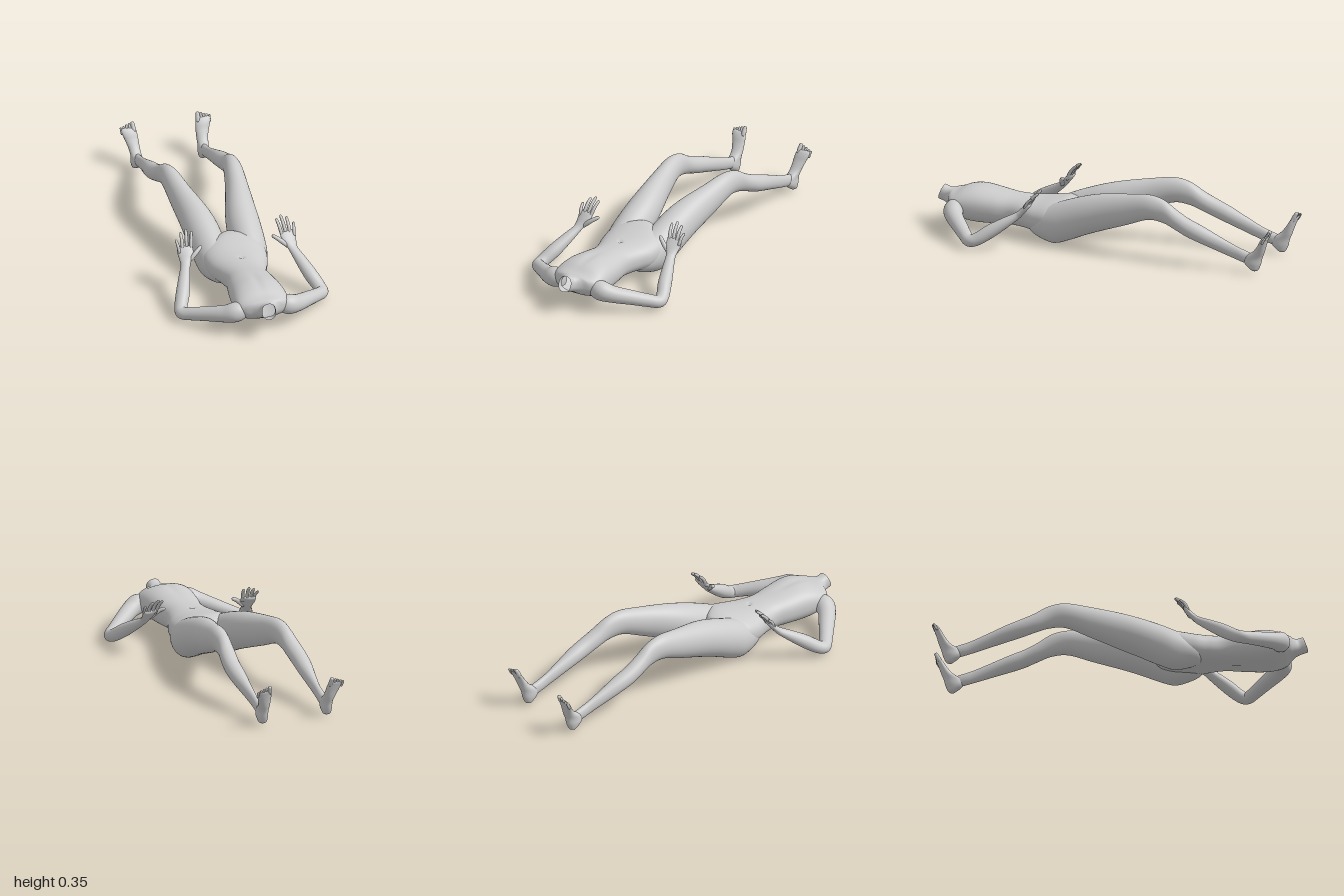
import * as THREE from 'three';

const material = new THREE.MeshStandardMaterial({ color: 0xcccccc, roughness: 0.8, side: THREE.DoubleSide });
const X = new THREE.Vector3(1, 0, 0), Y = new THREE.Vector3(0, 1, 0), Z = new THREE.Vector3(0, 0, 1);

// Smooth skin through sections [x, y, z, halfA, halfB].
// axes: fixed ring axes; without them the rings stand square to the path.
function loft(name, sections, { axes, sides = 28, steps = 5, power = 2, openEnd = false, shape } = {}) {
  const curveOf = (f) => new THREE.CatmullRomCurve3(sections.map(f), false, 'catmullrom', 0.5);
  const path = curveOf((s) => new THREE.Vector3(s[0], s[1], s[2]));
  const size = curveOf((s) => new THREE.Vector3(s[3], s[4], s[5] || 0));
  const rows = (sections.length - 1) * steps;
  const pos = [], index = [], p = new THREE.Vector3();
  const bend = (v) => Math.sign(v) * Math.abs(v) ** (2 / power);
  for (let i = 0; i <= rows; i++) {
    const c = path.getPoint(i / rows), r = size.getPoint(i / rows);
    let [A, B] = axes || [];
    if (!axes) {
      const T = path.getTangent(i / rows);
      A = new THREE.Vector3().crossVectors(Y, T).normalize();
      B = new THREE.Vector3().crossVectors(T, A);
    }
    for (let j = 0; j < sides; j++) {
      const t = (j / sides) * Math.PI * 2, u = bend(Math.cos(t)), v = bend(Math.sin(t));
      p.copy(c).addScaledVector(A, u * r.x).addScaledVector(B, v * r.y);
      p.z -= v * r.z; // slant of the ring
      if (shape) shape(p, v);
      pos.push(p.x, p.y, p.z);
    }
  }
  const first = path.getPoint(0), last = path.getPoint(1);
  const flip = axes && new THREE.Vector3().crossVectors(...axes).dot(last.clone().sub(first)) < 0;
  const face = (a, b, c) => (flip ? index.push(a, c, b) : index.push(a, b, c));
  for (let i = 0; i < rows; i++) {
    for (let j = 0; j < sides; j++) {
      const k = (j + 1) % sides, a = i * sides, b = a + sides;
      face(a + j, a + k, b + j);
      face(a + k, b + k, b + j);
    }
  }
  const tip = pos.length / 3;
  pos.push(...first.toArray(), ...last.toArray());
  for (let j = 0; j < sides; j++) {
    const k = (j + 1) % sides, e = rows * sides;
    face(tip, k, j);
    if (!openEnd) face(tip + 1, e + j, e + k);
  }
  const g = new THREE.BufferGeometry();
  g.setAttribute('position', new THREE.Float32BufferAttribute(pos, 3));
  g.setIndex(index);
  g.computeVertexNormals();
  const mesh = new THREE.Mesh(g, material);
  mesh.name = name;
  return mesh;
}

// Section across z from [z, centre x, half width, bottom y, top y, slant]
const slice = ([z, x, w, y0, y1, slant]) => [x, (y0 + y1) / 2, z, w, (y1 - y0) / 2, slant];

// Small tapering digit with a rounded tip
function digit(name, base, tip, r, arch) {
  const a = new THREE.Vector3(...base), b = new THREE.Vector3(...tip);
  const at = (t, k, lift) => {
    const q = a.clone().lerp(b, t);
    return [q.x, q.y + lift, q.z + lift, r * k, r * k];
  };
  return loft(name, [at(-0.15, 0.9, 0), at(0.3, 1, arch), at(0.6, 0.9, arch), at(0.88, 0.8, 0), at(0.97, 0.5, 0), at(1, 0.1, 0)],
    { sides: 12, steps: 3 });
}

function createTorso() {
  const sections = [
    [0.18, 0, 0.02, 0.1, 0.2], [0.2, 0, 0.06, 0.07, 0.225], [0.25, 0, 0.13, 0.05, 0.236],
    [0.31, 0, 0.172, 0.038, 0.23], [0.4, 0, 0.163, 0.037, 0.216], [0.48, 0, 0.135, 0.045, 0.212],
    [0.56, 0, 0.117, 0.048, 0.216], [0.65, 0, 0.13, 0.045, 0.228], [0.75, 0, 0.143, 0.043, 0.24],
    [0.82, 0, 0.148, 0.052, 0.232], [0.875, 0, 0.142, 0.075, 0.21], [0.905, 0, 0.11, 0.095, 0.204],
    [0.925, 0, 0.068, 0.11, 0.202, 0.004], [0.95, 0, 0.042, 0.122, 0.204, 0.01], [0.985, 0, 0.038, 0.135, 0.214, 0.015],
  ].map(slice);
  return loft('torso', sections, {
    axes: [X, Y], sides: 80, steps: 8, power: 2.3, openEnd: true,
    shape(p, v) {
      const bump = (d, w) => Math.exp(-((d / w) ** 2));
      if (v > 0) {
        p.y -= 0.014 * bump(p.x, 0.008) * bump(p.z - 0.46, 0.01); // navel
        p.y -= 0.006 * bump(p.x, 0.02) * bump(p.z - 0.75, 0.08); // breastbone
      } else {
        p.y += 0.01 * bump(p.x, 0.02) * bump(p.z - 0.62, 0.15); // spine
      }
    },
  });
}

function createLeg(s, side) {
  const leg = new THREE.Group();
  leg.name = side + 'Leg';
  const mirror = (q) => [q[0] * s, ...q.slice(1)];
  // buttock, thigh, knee and calf
  leg.add(loft(side + 'ThighAndCalf', [
    [0.45, 0.075, 0.02, 0.07, 0.12], [0.42, 0.08, 0.06, 0.04, 0.15], [0.36, 0.088, 0.085, 0.015, 0.19],
    [0.285, 0.1, 0.094, 0.002, 0.222], [0.2, 0.108, 0.094, 0.03, 0.255], [0.1, 0.115, 0.092, 0.073, 0.288],
    [0, 0.127, 0.083, 0.112, 0.313], [-0.15, 0.153, 0.064, 0.168, 0.338], [-0.28, 0.171, 0.051, 0.217, 0.355],
    [-0.37, 0.178, 0.042, 0.213, 0.338], [-0.45, 0.187, 0.045, 0.185, 0.29], [-0.52, 0.193, 0.045, 0.156, 0.255],
    [-0.6, 0.192, 0.042, 0.129, 0.222], [-0.7, 0.188, 0.029, 0.095, 0.176], [-0.78, 0.185, 0.021, 0.068, 0.14],
    [-0.84, 0.184, 0.022, 0.05, 0.118], [-0.9, 0.185, 0.018, 0.035, 0.1],
  ].map(slice).map(mirror), { axes: [X, Y], sides: 40, steps: 6 }));
  // foot, heel to ball
  leg.add(loft(side + 'Foot', [
    [0.186, 0.012, -0.9, 0.01, 0.01], [0.186, 0.02, -0.9, 0.022, 0.022], [0.186, 0.05, -0.89, 0.03, 0.046],
    [0.186, 0.085, -0.895, 0.029, 0.05], [0.189, 0.12, -0.926, 0.031, 0.032], [0.196, 0.16, -0.948, 0.037, 0.022],
    [0.203, 0.19, -0.962, 0.041, 0.018], [0.207, 0.208, -0.972, 0.039, 0.014], [0.208, 0.216, -0.976, 0.03, 0.007],
  ].map(mirror), { axes: [X, Z] }));
  for (let i = 0; i < 5; i++) {
    const x = 0.178 + i * 0.0155 + (i ? 0.003 : 0), r = i ? 0.0085 - i * 0.0004 : 0.0125;
    leg.add(digit(side + 'Toe' + (i + 1), [x * s, 0.2 - i * 0.003, -0.968],
      [(x + 0.003) * s, 0.242 - i * 0.006, -0.99 + i * 0.001], r, 0));
  }
  return leg;
}

function createArm(s, side) {
  const arm = new THREE.Group();
  arm.name = side + 'Arm';
  // shoulder to knuckles in one skin
  arm.add(loft(side + 'ArmAndPalm', [
    [0.09, 0.135, 0.865, 0.03, 0.04], [0.145, 0.126, 0.858, 0.052, 0.054], [0.2, 0.108, 0.83, 0.047, 0.046],
    [0.28, 0.082, 0.762, 0.041, 0.039], [0.345, 0.06, 0.705, 0.036, 0.035], [0.386, 0.047, 0.662, 0.035, 0.033],
    [0.382, 0.06, 0.62, 0.035, 0.034], [0.355, 0.1, 0.56, 0.037, 0.036], [0.326, 0.146, 0.49, 0.032, 0.029],
    [0.302, 0.185, 0.43, 0.026, 0.02], [0.294, 0.207, 0.405, 0.031, 0.016], [0.287, 0.235, 0.38, 0.042, 0.014],
    [0.283, 0.257, 0.36, 0.041, 0.012], [0.282, 0.267, 0.352, 0.03, 0.005],
  ].map((q) => [q[0] * s, ...q.slice(1)]), { steps: 6 }));
  // fingers and thumb: base, tip, thickness
  const digits = {
    LittleFinger: [[0.318, 0.248, 0.368], [0.326, 0.3, 0.33], 0.0085],
    RingFinger: [[0.297, 0.26, 0.358], [0.293, 0.326, 0.306], 0.0095],
    MiddleFinger: [[0.274, 0.262, 0.356], [0.262, 0.338, 0.3], 0.0095],
    IndexFinger: [[0.252, 0.252, 0.365], [0.235, 0.328, 0.313], 0.0095],
    Thumb: [[0.262, 0.212, 0.402], [0.195, 0.264, 0.372], 0.0125],
  };
  for (const [name, [base, tip, r]] of Object.entries(digits)) {
    arm.add(digit(side + name, [base[0] * s, base[1], base[2]], [tip[0] * s, tip[1], tip[2]], r, 0.004));
  }
  return arm;
}

export function createModel() {
  const model = new THREE.Group();
  model.name = 'recliningFigure';
  model.add(createTorso());
  for (const [s, side] of [[1, 'left'], [-1, 'right']]) model.add(createLeg(s, side), createArm(s, side));
  return model;
}
